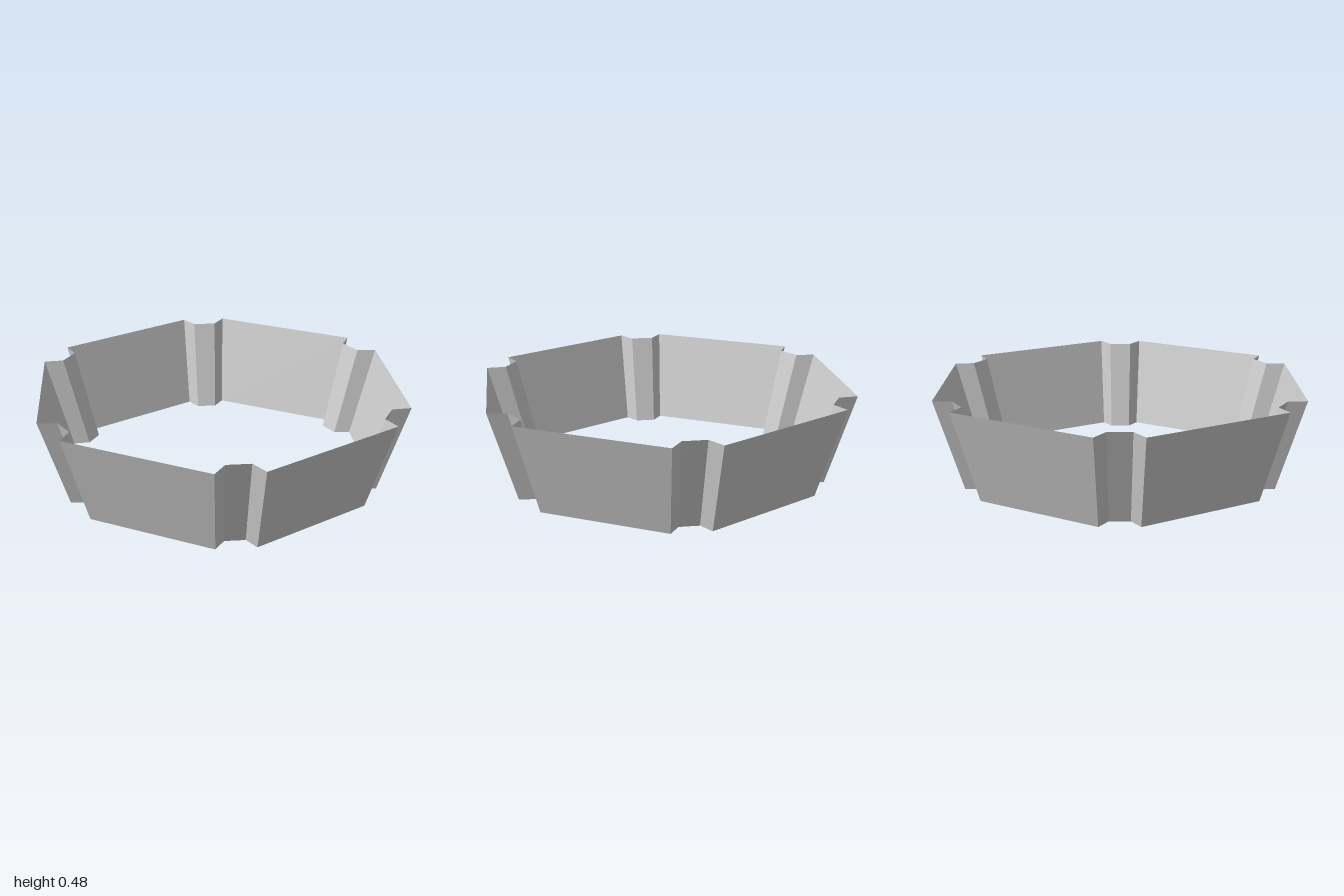
import * as THREE from 'three';

const HEIGHT = 0.48;
const TAPER = 0.853; // bottom outline relative to the top outline

// Sloping sheet that follows a top outline of [x, z] points
function createWall(name, outline, material) {
  const positions = [];
  const index = [];
  outline.forEach(([x, z], i) => {
    positions.push(x * TAPER, 0, z * TAPER, x, HEIGHT, z);
    if (i < outline.length - 1) {
      const b = 2 * i;
      index.push(b, b + 1, b + 3, b, b + 3, b + 2);
    }
  });
  const geometry = new THREE.BufferGeometry();
  geometry.setAttribute('position', new THREE.Float32BufferAttribute(positions, 3));
  geometry.setIndex(index);
  geometry.computeVertexNormals();
  const mesh = new THREE.Mesh(geometry, material);
  mesh.name = name;
  return mesh;
}

export function createModel() {
  const group = new THREE.Group();
  group.name = 'hexagonalRing';
  const material = new THREE.MeshStandardMaterial({
    color: 0xcccccc, flatShading: true, side: THREE.DoubleSide,
  });

  // Notched corner, and the flat panel reaching to the next corner
  const notch = [[1, -0.117], [0.917, -0.061], [0.917, 0.061], [1, 0.117]];
  const cos = Math.cos(Math.PI / 3), sin = Math.sin(Math.PI / 3);
  const [x, z] = notch[0];
  const panel = [notch[3], [x * cos - z * sin, x * sin + z * cos]];

  for (let i = 0; i < 6; i++) {
    const side = new THREE.Group();
    side.name = `side${i + 1}`;
    side.add(createWall('cornerNotch', notch, material));
    side.add(createWall('sidePanel', panel, material));
    side.rotation.y = (-i * Math.PI) / 3;
    group.add(side);
  }
  return group;
}
